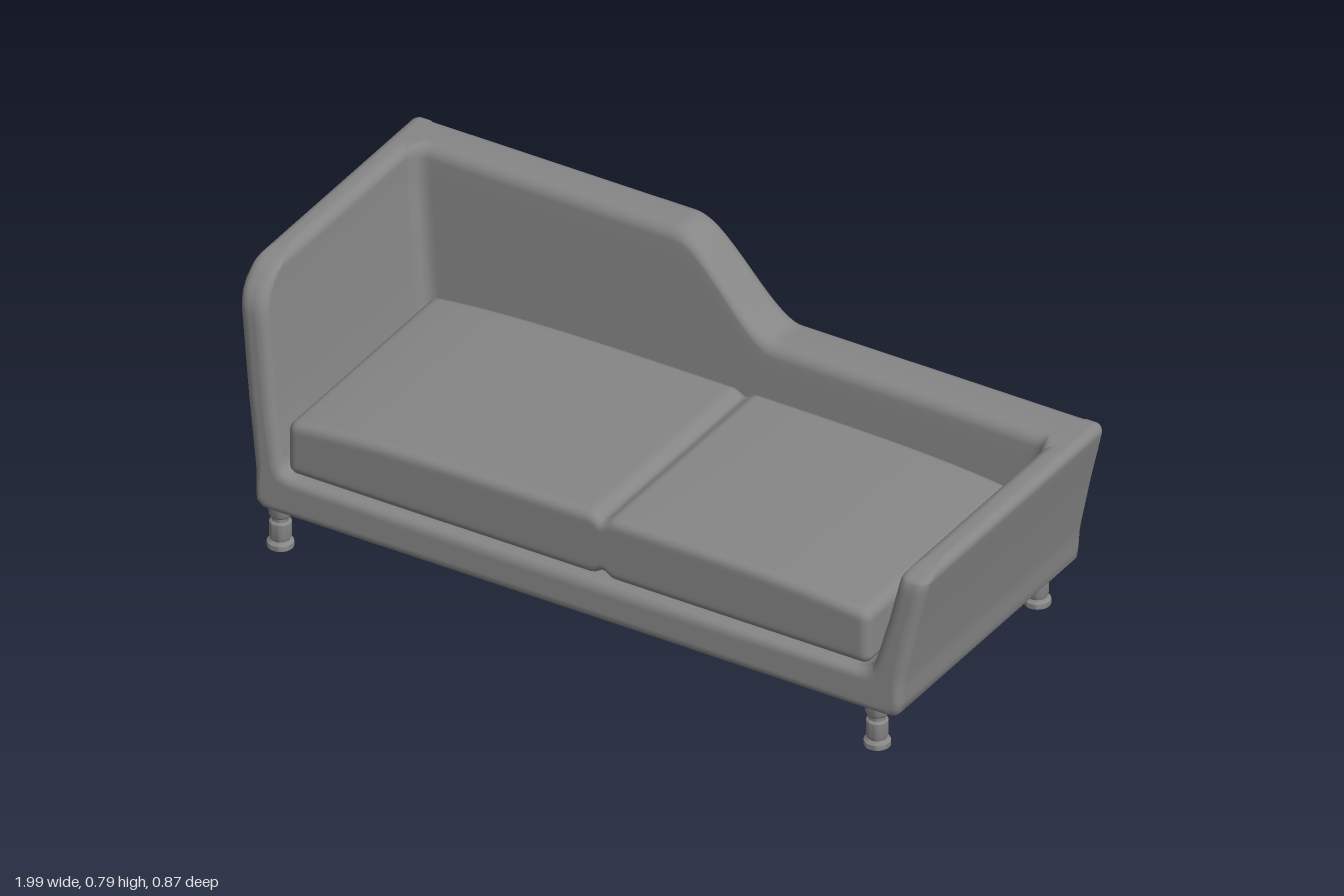
import * as THREE from 'three';
import { toCreasedNormals } from 'three/addons/utils/BufferGeometryUtils.js';

const { lerp, smoothstep, clamp } = THREE.MathUtils;
const material = new THREE.MeshStandardMaterial({ color: 0x868686 });

// Upholstered slab with every edge rounded by r. point(t, u) gives [x, y]: t runs along
// the slab, u across it; back and front give the z limits at a point.
function softSlab(name, { point, back, front, r, length, steps }) {
  const stations = [];
  const tr = r / length, corner = 5, side = 12;
  for (let k = 0; k <= 6; k++) {
    const a = (k / 6) * Math.PI / 2;
    stations.push([tr * (1 - Math.cos(a)), r * (1 - Math.sin(a))]);
  }
  const ends = stations.map(([t, inset]) => [1 - t, inset]).reverse();
  for (let k = 1; k < steps; k++) stations.push([lerp(tr, 1 - tr, k / steps), 0]);
  stations.push(...ends);

  const pos = [], index = [];
  let n = 0;
  for (const [t, inset] of stations) {
    const p0 = point(t, 0), p1 = point(t, 1);
    const span = Math.hypot(p1[0] - p0[0], p1[1] - p0[1]);
    const rr = Math.max(0, r - inset);
    const half = [];
    for (let k = 0; k <= corner; k++) {
      const a = (k / corner) * Math.PI / 2;
      half.push([inset + rr * (1 - Math.cos(a)), inset + rr * (1 - Math.sin(a))]);
    }
    const far = half.map(([a, off]) => [span - a, off]).reverse();
    for (let k = 1; k < side; k++) half.push([lerp(r, span - r, k / side), inset]);
    half.push(...far);
    const emit = ([a, off], isFront) => {
      const [x, y] = point(t, a / span);
      pos.push(x, y, isFront ? front(x, y) - off : back(x, y) + off);
    };
    half.forEach(h => emit(h, true));
    half.reverse().forEach(h => emit(h, false));
    n = half.length * 2;
  }

  for (let i = 0; i < stations.length - 1; i++) {
    for (let j = 0; j < n; j++) {
      const k = (j + 1) % n;
      const a = i * n + j, b = a + n, c = (i + 1) * n + k, d = i * n + k;
      index.push(a, b, c, a, c, d);
    }
  }
  // end caps, each a fan around the middle of its ring
  for (const ring of [0, stations.length - 1]) {
    const centre = pos.length / 3, sum = [0, 0, 0];
    for (let j = 0; j < n; j++) for (let c = 0; c < 3; c++) sum[c] += pos[(ring * n + j) * 3 + c] / n;
    pos.push(...sum);
    for (let j = 0; j < n; j++) {
      const a = ring * n + j, b = ring * n + (j + 1) % n;
      index.push(centre, ...(ring ? [b, a] : [a, b]));
    }
  }
  const geometry = new THREE.BufferGeometry();
  geometry.setAttribute('position', new THREE.Float32BufferAttribute(pos, 3));
  geometry.setIndex(index);
  geometry.computeVertexNormals();
  const mesh = new THREE.Mesh(geometry, material);
  mesh.name = name;
  return mesh;
}

// Piecewise linear x of an outer side at height y
function sideX(profile, y) {
  for (let i = 1; i < profile.length; i++) {
    const [y0, x0] = profile[i - 1], [y1, x1] = profile[i];
    if (y <= y1) return lerp(x0, x1, clamp((y - y0) / (y1 - y0), 0, 1));
  }
  return profile[profile.length - 1][1];
}
const rightSide = [[0.15, -0.935], [0.22, -0.937], [0.42, -0.965], [0.72, -1]];
const leftSide = [[0.15, 0.93], [0.22, 0.935], [0.38, 0.965], [0.52, 0.995], [0.548, 1]];

// Arms and base: one U-shaped band, [outer x, outer y, inner x, inner y]
const band = [
  [-0.998, 0.787, -0.925, 0.787], [-1, 0.72, -0.922, 0.72], [-0.965, 0.42, -0.888, 0.42],
  [-0.937, 0.22, -0.864, 0.27], [-0.935, 0.145, -0.857, 0.25], [-0.928, 0.128, -0.845, 0.238],
  [-0.91, 0.122, -0.82, 0.234], [0, 0.122, 0, 0.234], [0.905, 0.122, 0.81, 0.234],
  [0.923, 0.128, 0.832, 0.238], [0.93, 0.145, 0.845, 0.252], [0.935, 0.22, 0.855, 0.28],
  [0.965, 0.38, 0.885, 0.39], [0.995, 0.52, 0.915, 0.52], [1, 0.548, 0.922, 0.548],
];
const along = [0];
for (let i = 1; i < band.length; i++) {
  along.push(along[i - 1] + Math.hypot(band[i][0] - band[i - 1][0], band[i][1] - band[i - 1][1]));
}
const bandLength = along[along.length - 1];

function bandPoint(t, u) {
  const s = t * bandLength;
  let i = 1;
  while (i < band.length - 1 && along[i] < s) i++;
  const f = (s - along[i - 1]) / (along[i] - along[i - 1]);
  const q = band[i].map((v, k) => lerp(band[i - 1][k], v, f));
  return [lerp(q[0], q[2], u), lerp(q[1], q[3], u)];
}

// Front edge leans back a little and rolls over at the top of each arm
function bandFront(x, y) {
  const [top, depth, drop] = x < 0 ? [0.787, 0.15, 0.12] : [0.548, 0.1, 0.035];
  const k = clamp(1 - (top - y) / drop, 0, 1);
  return 0.437 - 0.05 * (y - 0.13) - depth * (1 - Math.sqrt(1 - k * k));
}

// Rear face, shared by the band and the backrest
const rear = (x, y) => -0.424 - 0.003 * x - 0.011 * clamp((y - 0.13) / 0.35, 0, 1);

// Backrest front leans back and curves forward into the arms
function backrestFront(x, y) {
  const radius = 0.04;
  const gap = Math.min(x - sideX(rightSide, y), sideX(leftSide, y) - x) - 0.077;
  const k = clamp(1 - gap / radius, 0, 1);
  return -0.262 - 0.07 * (y - 0.13) + radius * (1 - Math.sqrt(1 - k * k));
}

function makeLeg(name, x, z) {
  const profile = [
    [0, 0], [0.034, 0], [0.034, 0.014], [0.029, 0.017], [0.025, 0.022], [0.028, 0.032],
    [0.028, 0.072], [0.022, 0.077], [0.021, 0.086], [0.026, 0.089], [0.03, 0.096],
    [0.03, 0.13], [0, 0.13],
  ].map(([r, y]) => new THREE.Vector2(r, y));
  const leg = new THREE.Mesh(toCreasedNormals(new THREE.LatheGeometry(profile, 24), 0.7), material);
  leg.name = name;
  leg.position.set(x, 0, z);
  return leg;
}

export function createModel() {
  const sofa = new THREE.Group();
  sofa.name = 'sofa';

  sofa.add(softSlab('armsAndBase', {
    point: bandPoint, back: rear, front: bandFront,
    r: 0.028, length: bandLength, steps: 120,
  }));

  // Backrest: high at one end, sweeping down to the low arm; its ends sit inside the arms
  sofa.add(softSlab('backrest', {
    point: (t, u) => {
      const x = lerp(-1, 1, t);
      const top = 0.787 - 0.003 * t - 0.236 * smoothstep(x, -0.18, 0.12);
      const y = lerp(0.128, top, u);
      return [lerp(sideX(rightSide, y) + 0.008, sideX(leftSide, y) - 0.008, t), y];
    },
    back: rear, front: backrestFront,
    r: 0.034, length: 2, steps: 160,
  }));

  // Seat cushion: crowned, with a shallow pinched seam above and below
  sofa.add(softSlab('seatCushion', {
    point: (t, u) => {
      const x = lerp(-0.85, 0.832, t);
      const pinch = 0.018 * Math.max(0, 1 - Math.abs(x - 0.06) / 0.03);
      const top = 0.418 - 0.03 * Math.pow(Math.abs(x) / 0.85, 4);
      return [x, lerp(0.238 + pinch, top - pinch, u)];
    },
    back: () => -0.275, front: () => 0.417,
    r: 0.026, length: 1.682, steps: 150,
  }));

  for (const [sideName, x] of [['Right', -0.887], ['Left', 0.838]]) {
    sofa.add(makeLeg('front' + sideName + 'Leg', x, 0.383));
    sofa.add(makeLeg('back' + sideName + 'Leg', x, -0.37));
  }
  return sofa;
}
